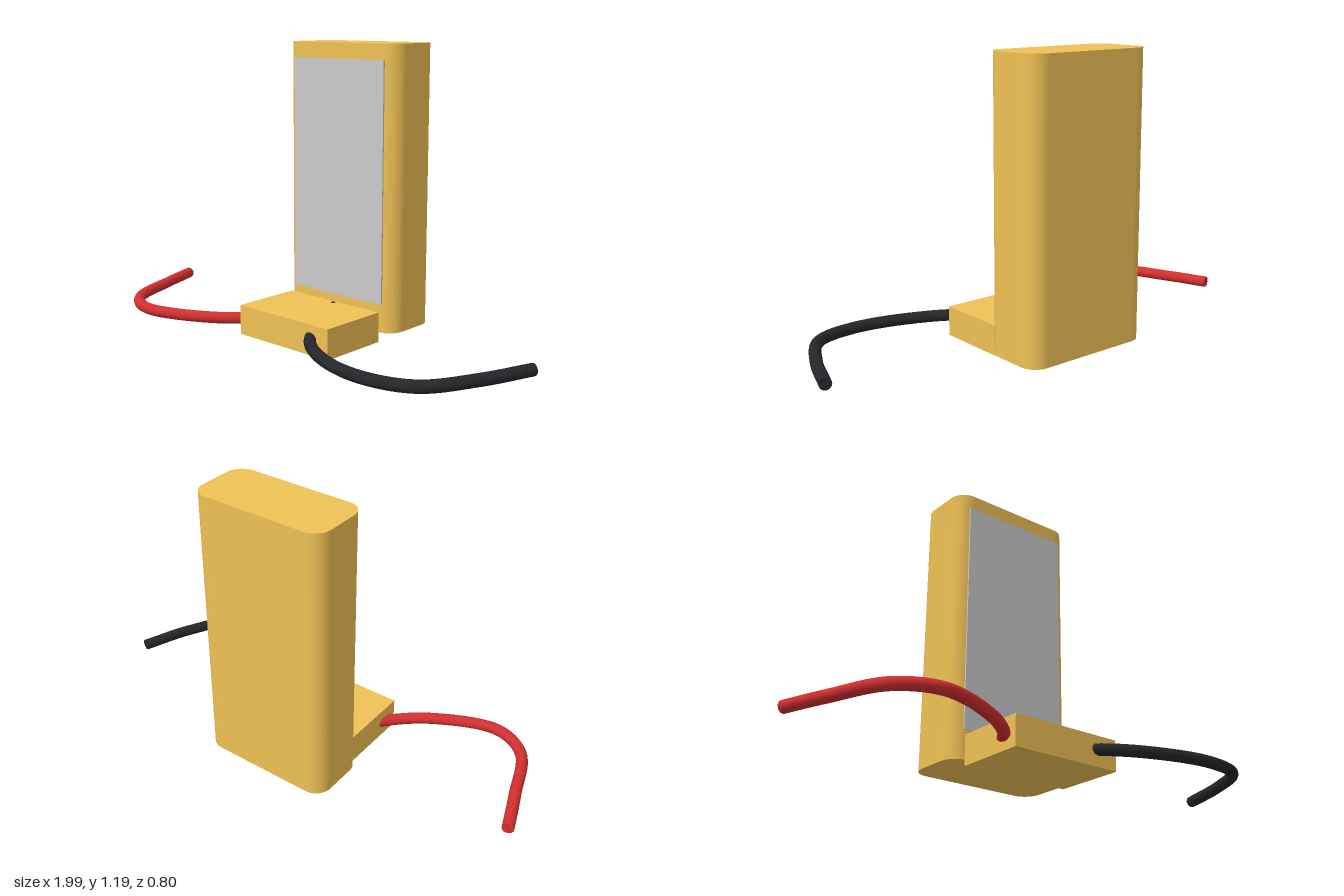
import * as THREE from 'three';

const yellow = new THREE.MeshStandardMaterial({ color: 0xf0c155 });
const grey = new THREE.MeshStandardMaterial({ color: 0xcccccc });
const red = new THREE.MeshStandardMaterial({ color: 0xd32f2f });
const black = new THREE.MeshStandardMaterial({ color: 0x25262a });

function add(group, name, geometry, material, x = 0, y = 0, z = 0) {
  const mesh = new THREE.Mesh(geometry, material);
  mesh.name = name;
  mesh.position.set(x, y, z);
  group.add(mesh);
  return mesh;
}

// Rounded rectangle centred on the origin
function roundedRect(w, h, r) {
  const s = new THREE.Shape();
  const x = w / 2, y = h / 2;
  s.absarc(x - r, y - r, r, 0, Math.PI / 2);
  s.absarc(r - x, y - r, r, Math.PI / 2, Math.PI);
  s.absarc(r - x, r - y, r, Math.PI, Math.PI * 1.5);
  s.absarc(x - r, r - y, r, Math.PI * 1.5, Math.PI * 2);
  s.closePath();
  return s;
}

// Round wire through the given points, with closed ends
function addWire(group, name, points, material) {
  const radius = 0.024;
  const curve = new THREE.CatmullRomCurve3(points.map((p) => new THREE.Vector3(...p)));
  const wire = new THREE.Group();
  wire.name = name;
  add(wire, name + 'Sleeve', new THREE.TubeGeometry(curve, 64, radius, 16), material);
  for (const t of [0, 1]) {
    const p = curve.getPointAt(t);
    const dir = curve.getTangentAt(t).multiplyScalar(t ? 1 : -1);
    const cap = add(wire, name + 'End', new THREE.CircleGeometry(radius, 16), material, p.x, p.y, p.z);
    cap.quaternion.setFromUnitVectors(new THREE.Vector3(0, 0, 1), dir);
  }
  group.add(wire);
}

export function createModel() {
  const model = new THREE.Group();
  model.name = 'wiredDisplayModule';

  // Upright housing with rounded vertical edges
  const housing = new THREE.ExtrudeGeometry(roundedRect(0.582, 0.272, 0.07), {
    depth: 1.162, bevelEnabled: false, curveSegments: 6,
  });
  housing.rotateX(-Math.PI / 2);
  add(model, 'housing', housing, yellow, 0, 0.033, -0.264);

  // Flat panel on the housing front
  add(model, 'frontPanel', new THREE.BoxGeometry(0.48, 0.98, 0.01), grey, 0, 0.641, -0.129);

  // Connector block
  add(model, 'connectorBlock', new THREE.BoxGeometry(0.486, 0.124, 0.306), yellow, -0.002, 0.062, 0.044);

  // Two wires leaving the connector block
  addWire(model, 'redWire', [
    [-0.975, 0.07, -0.14], [-0.91, 0.07, 0.04], [-0.81, 0.066, 0.28], [-0.66, 0.062, 0.358],
    [-0.4, 0.057, 0.265], [-0.245, 0.058, 0.13], [-0.17, 0.08, -0.03], [-0.13, 0.1, -0.1],
  ], red);
  addWire(model, 'blackWire', [
    [0.97, 0.07, -0.085], [0.89, 0.07, 0.13], [0.77, 0.067, 0.32], [0.58, 0.062, 0.373],
    [0.36, 0.06, 0.335], [0.17, 0.067, 0.22], [0.06, 0.085, 0.02], [0.005, 0.103, -0.1],
  ], black);

  return model;
}
